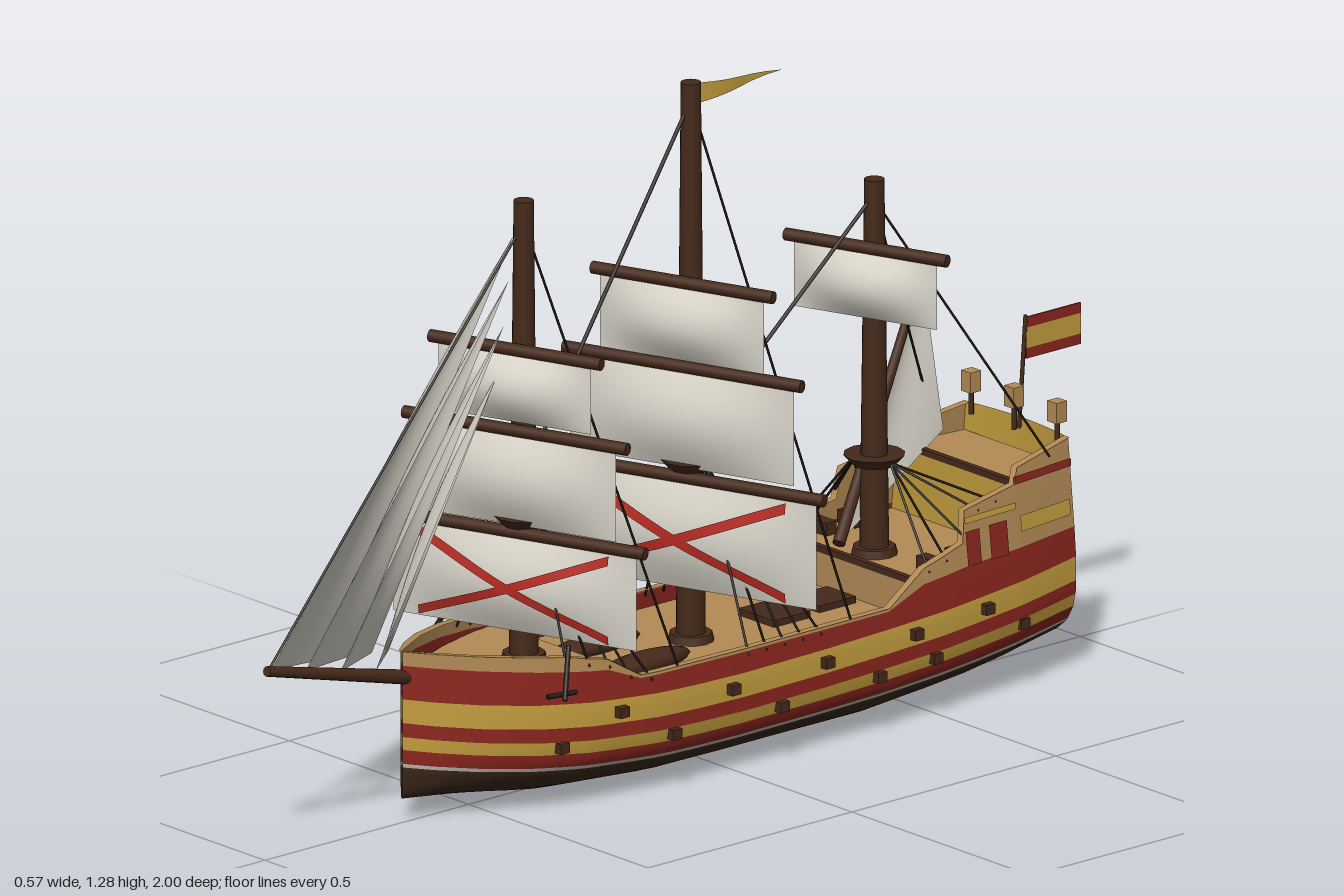
import * as THREE from 'three';

const mat = (name, color) => {
  const m = new THREE.MeshStandardMaterial({ color, side: THREE.DoubleSide });
  m.name = name;
  return m;
};
const V = (x, y, z) => new THREE.Vector3(x, y, z);

// Piecewise linear lookup in a table of [z, value]
function look(table, z) {
  if (z <= table[0][0]) return table[0][1];
  for (let i = 1; i < table.length; i++) {
    const [z0, a] = table[i - 1], [z1, b] = table[i];
    if (z <= z1) return a + (b - a) * (z - z0) / (z1 - z0);
  }
  return table[table.length - 1][1];
}

// Surface from fn(u, v) -> Vector3, with u and v in 0..1
function grid(nu, nv, fn) {
  const pos = [], idx = [];
  for (let i = 0; i <= nu; i++) for (let j = 0; j <= nv; j++) pos.push(...fn(i / nu, j / nv).toArray());
  for (let i = 0; i < nu; i++) for (let j = 0; j < nv; j++) {
    const a = i * (nv + 1) + j, b = a + nv + 1;
    idx.push(a, b, a + 1, b, b + 1, a + 1);
  }
  const g = new THREE.BufferGeometry();
  g.setAttribute('position', new THREE.Float32BufferAttribute(pos, 3));
  g.setIndex(idx);
  g.computeVertexNormals();
  return g;
}

// Hull lines: sheer top, top of red, half breadth, keel and cross-section
const STERN = -0.845, BOW = 0.665;
const TOP = [[-.845, .458], [-.7, .435], [-.69, .405], [-.56, .385], [-.55, .325], [-.45, .3], [-.36, .243], [.24, .243], [.31, .285], [.4, .303], [.665, .335]];
const RED = [[-.845, .29], [-.56, .28], [-.45, .27], [-.36, .237], [.24, .237], [.31, .265], [.4, .275], [.665, .308]];
const BREADTH = [[-.845, .165], [-.7, .185], [-.5, .198], [0, .2], [.2, .195], [.35, .175], [.45, .145], [.55, .095], [.62, .045], [.665, .003]];
const KEEL = [[-.845, .05], [-.6, .02], [-.35, .003], [.15, .003], [.4, .015], [.665, .05]];
const SECTION = [[0, 0], [.05, .4], [.12, .66], [.22, .84], [.35, .95], [.5, 1], [.75, 1], [1, .97], [1.8, .85]];
const STATIONS = [...new Set([TOP, RED, BREADTH, KEEL].flat().map(p => p[0]).concat([-.78, -.65, -.2, .1, .5, .59]))].sort((a, b) => a - b);
const rise = z => z > 0 ? .045 * (z / BOW) ** 2 : .035 * (z / STERN) ** 2;
const top = z => look(TOP, z), red = z => look(RED, z), keel = z => look(KEEL, z);
const level = y => z => y + rise(z);
const breadth = (z, y) => look(BREADTH, z) * look(SECTION, (y - keel(z)) / .24);

export function createModel() {
  const M = {
    red: mat('red paint', 0x8c261e), yellow: mat('yellow paint', 0xc39d3e), tan: mat('deck timber', 0xb38a55),
    bottom: mat('dark hull', 0x3a2618), wood: mat('dark wood', 0x45291a), sail: mat('sailcloth', 0xd6d2c7),
    cross: mat('cross red', 0xb52a22), rope: mat('rope', 0x1e1712), line: mat('waterline', 0xb9b4aa),
  };
  const ship = new THREE.Group();
  ship.name = 'sailingShip';
  const add = (name, geo, m, parent = ship) => {
    const mesh = new THREE.Mesh(geo, m);
    mesh.name = name;
    parent.add(mesh);
    return mesh;
  };
  const box = (name, w, h, d, x, y, z, m) => add(name, new THREE.BoxGeometry(w, h, d), m).position.set(x, y, z);
  const beam = (name, a, b, r0, r1, m, parent = ship, sides = 10) => {
    const d = b.clone().sub(a);
    const mesh = add(name, new THREE.CylinderGeometry(r1, r0, d.length(), sides), m, parent);
    mesh.position.copy(a).addScaledVector(d, .5);
    mesh.quaternion.setFromUnitVectors(V(0, 1, 0), d.normalize());
  };
  const rope = (a, b, r = .0025) => beam('rope', a, b, r, r, M.rope, ship, 5);

  // Hull planking in painted bands
  const band = (name, lo, hi, m, n = 3, zs = STATIONS, out = 0) => {
    for (const s of [-1, 1]) add(name, grid(zs.length - 1, n, (u, v) => {
      const z = zs[Math.round(u * (zs.length - 1))];
      const y = lo(z) + (hi(z) - lo(z)) * v;
      return V(s * (breadth(z, y) + out), y, z);
    }), m);
  };
  band('hullBottom', keel, level(.066), M.bottom, 10);
  band('waterline', level(.066), level(.073), M.line, 1);
  band('lowerRedStripe', level(.073), level(.1), M.red);
  band('lowerYellowStripe', level(.1), level(.125), M.yellow, 2);
  band('middleRedStripe', level(.125), level(.152), M.red, 2);
  band('upperYellowStripe', level(.152), level(.198), M.yellow);
  band('upperRedStripe', level(.198), red, M.red);
  band('bulwark', red, top, M.tan);
  for (const s of [-1, 1]) add('capRail', grid(STATIONS.length - 1, 1, (u, v) => {
    const z = STATIONS[Math.round(u * (STATIONS.length - 1))];
    return V(s * Math.max(0, breadth(z, top(z)) + .004 - .016 * v), top(z) + .001, z);
  }), M.tan);

  // Painted panels on the stern castle
  const panel = (z0, z1, y0, y1, m) => band('castlePanel', () => y0, () => y1, m, 2, [z0, (z0 + z1) / 2, z1], .003);
  panel(-.845, -.69, .405, .42, M.red);
  panel(-.835, -.7, .315, .345, M.yellow);
  panel(-.69, -.56, .36, .372, M.yellow);
  panel(-.595, -.56, .28, .345, M.red);
  panel(-.665, -.62, .28, .345, M.red);

  // Flat stern, painted in rows
  const rows = [[keel(STERN), .165, M.red], [.165, .285, M.yellow], [.285, .3, M.red], [.3, .458, M.yellow]];
  for (const [lo, hi, m] of rows) add('transom', grid(8, 8, (u, v) => {
    const y = lo + (hi - lo) * v, k = u * 2 - 1;
    return V(k * breadth(STERN, y), y, STERN - .014 * (1 - k * k));
  }), m);

  // Decks and the bulkheads between them
  for (const [z0, z1, y] of [[STERN, -.695, .402], [-.695, -.43, .275], [-.43, .28, .205], [.28, BOW, .262]])
    add('deck', grid(12, 2, (u, v) => {
      const z = z0 + (z1 - z0) * u;
      return V((v * 2 - 1) * (breadth(z, y) - .002), y, z);
    }), M.tan);
  for (const [z, y0, y1, m] of [[-.695, .275, .402, M.yellow], [-.43, .2, .275, M.tan], [.28, .2, .262, M.tan]])
    add('bulkhead', grid(1, 1, (u, v) => {
      const y = y0 + (y1 - y0) * v;
      return V((u * 2 - 1) * breadth(z, y), y, z);
    }), m);
  box('deckBeam', .3, .012, .012, 0, .404, -.7, M.wood);
  box('deckBeam', .37, .012, .012, 0, .277, -.435, M.wood);
  box('hatch', .1, .014, .09, 0, .211, -.25, M.wood);
  box('hatch', .08, .014, .09, 0, .211, -.37, M.wood);
  for (const s of [-1, 1]) {
    // Boats stowed on deck, deck guns, anchors
    const boat = add('rowingBoat', new THREE.SphereGeometry(1, 14, 8), M.wood);
    boat.scale.set(.03, .022, .11);
    boat.position.set(s * .07, .215, .13);
    for (const z of [-.5, -.57]) box('deckGun', .05, .025, .025, s * .15, .29, z, M.wood);
    beam('anchor', V(s * .165, .33, .4), V(s * .2, .24, .44), .005, .005, M.rope);
    beam('anchorFluke', V(s * .185, .25, .47), V(s * .198, .25, .41), .005, .005, M.rope);
    // Gun muzzles along both rows
    for (const [y, list] of [[.175, [.29, .03, -.2, -.42, -.6]], [.115, [.41, .17, -.09, -.33, -.47, -.7]]])
      for (const z of list) box('gunMuzzle', .022, .02, .022, s * (breadth(z, y) + .004), y + rise(z), z, M.wood);
  }

  // Square sail hanging from a yard; the lower ones carry a diagonal cross
  const squareSail = (parent, yTop, yBot, hw, yard, cross) => {
    beam('yard', V(-yard, yTop + .01, .03), V(yard, yTop + .01, .03), .012, .012, M.wood, parent);
    const at = (u, v, off = 0) => V(u * hw, yBot + (yTop - yBot) * v,
      .034 + .03 * Math.cos(u * Math.PI / 2) * Math.sin(v * Math.PI) + off);
    add('squareSail', grid(12, 10, (u, v) => at(u * 2 - 1, v)), M.sail, parent);
    if (cross) for (const s of [-1, 1]) for (const off of [-.004, .004])
      add('sailCross', grid(16, 1, (u, v) => {
        const k = u * 2 - 1;
        return at(s * k * .78, .5 + k * .43 + (v - .5) * .1, off);
      }), M.cross, parent);
  };

  // Masts: z, foot, head, platform height, sails [top, bottom, half width, yard half length, cross]
  const masts = [
    ['foreMast', .365, .25, 1.145, .53, [[.5, .32, .255, .272, 1], [.697, .525, .212, .235], [.853, .725, .16, .18]]],
    ['mainMast', -.045, .2, 1.285, .55, [[.518, .315, .282, .297, 1], [.732, .548, .235, .25], [.895, .755, .172, .19]]],
    ['mizzenMast', -.495, .27, 1.0, .46, [[.865, .74, .15, .17]]],
  ];
  for (const [name, z, y0, y1, yp, sails] of masts) {
    beam(name, V(0, y0, z), V(0, y1, z), .028, .019, M.wood, ship, 14);
    beam('mastPlatform', V(0, yp - .012, z), V(0, yp + .008, z), .04, .058, M.wood, ship, 12);
    beam('mastCollar', V(0, y0, z), V(0, y0 + .02, z), .045, .04, M.wood, ship, 12);
    const rig = new THREE.Group();
    rig.name = name + 'Sails';
    rig.position.z = z;
    rig.rotation.y = .35;
    ship.add(rig);
    for (const s of sails) squareSail(rig, ...s);
    // Shrouds fanning out to both sides
    for (const s of [-1, 1]) for (let i = 0; i < 5; i++) {
      const ze = z + .03 - i * .045, ye = top(ze) - .015;
      rope(V(s * .045, yp, z), V(s * breadth(ze, ye), ye, ze));
    }
  }
  // Stays
  for (const s of [-1, 1]) {
    rope(V(0, 1.1, .365), V(s * .19, .245, .155));
    rope(V(0, 1.25, -.045), V(s * .195, .245, -.265));
    rope(V(0, .96, -.495), V(s * .165, .44, -.78));
  }
  rope(V(0, 1.25, -.045), V(0, .64, .345), .004);
  rope(V(0, .97, -.495), V(0, .6, -.065), .004);
  rope(V(0, 1.1, .365), V(0, .37, .99));

  // Bowsprit and staggered headsails
  beam('bowsprit', V(0, .245, .5), V(0, .368, .995), .016, .01, M.wood);
  const triangleSail = (name, a, b, c, belly) => add(name, grid(10, 8, (u, v) => {
    const p = a.clone().lerp(b.clone().lerp(c, v), u);
    return p.add(V(-belly * Math.sin(Math.PI * u) * Math.sin(Math.PI * v), 0, 0));
  }), M.sail);
  for (let i = 0; i < 4; i++)
    triangleSail('headsail', V(-.005, 1.08 - .085 * i, .385 + .012 * i), V(0, .368 - .02 * i, .985 - .085 * i),
      V(-.135 + .012 * i, .3, .7 - .03 * i), .03);

  // Slanted sail behind the mizzen mast
  const low = V(.02, .32, -.39), high = V(-.19, .715, -.78);
  beam('lateenYard', low, high, .012, .008, M.wood);
  triangleSail('lateenSail', high, low, V(-.12, .425, -.77), .015);

  // Pennant, ensign and stern lanterns
  add('pennant', grid(6, 1, (u, v) => V(.006 * Math.sin(u * 6), 1.26 + (v - .5) * .04 * (1 - u), -.06 - .21 * u)), M.yellow);
  beam('ensignStaff', V(0, .44, -.85), V(0, .655, -.866), .004, .004, M.wood);
  for (const [y, h, m] of [[.581, .02, M.red], [.611, .04, M.yellow], [.641, .02, M.red]])
    box('ensignStripe', .004, h, .134, 0, y, -.933, m);
  for (const x of [-.12, 0, .12]) {
    beam('lanternPost', V(x, .44, -.838), V(x, .49, -.838), .005, .005, M.wood);
    box('sternLantern', .026, .04, .026, x, .505, -.838, M.tan);
  }
  return ship;
}
